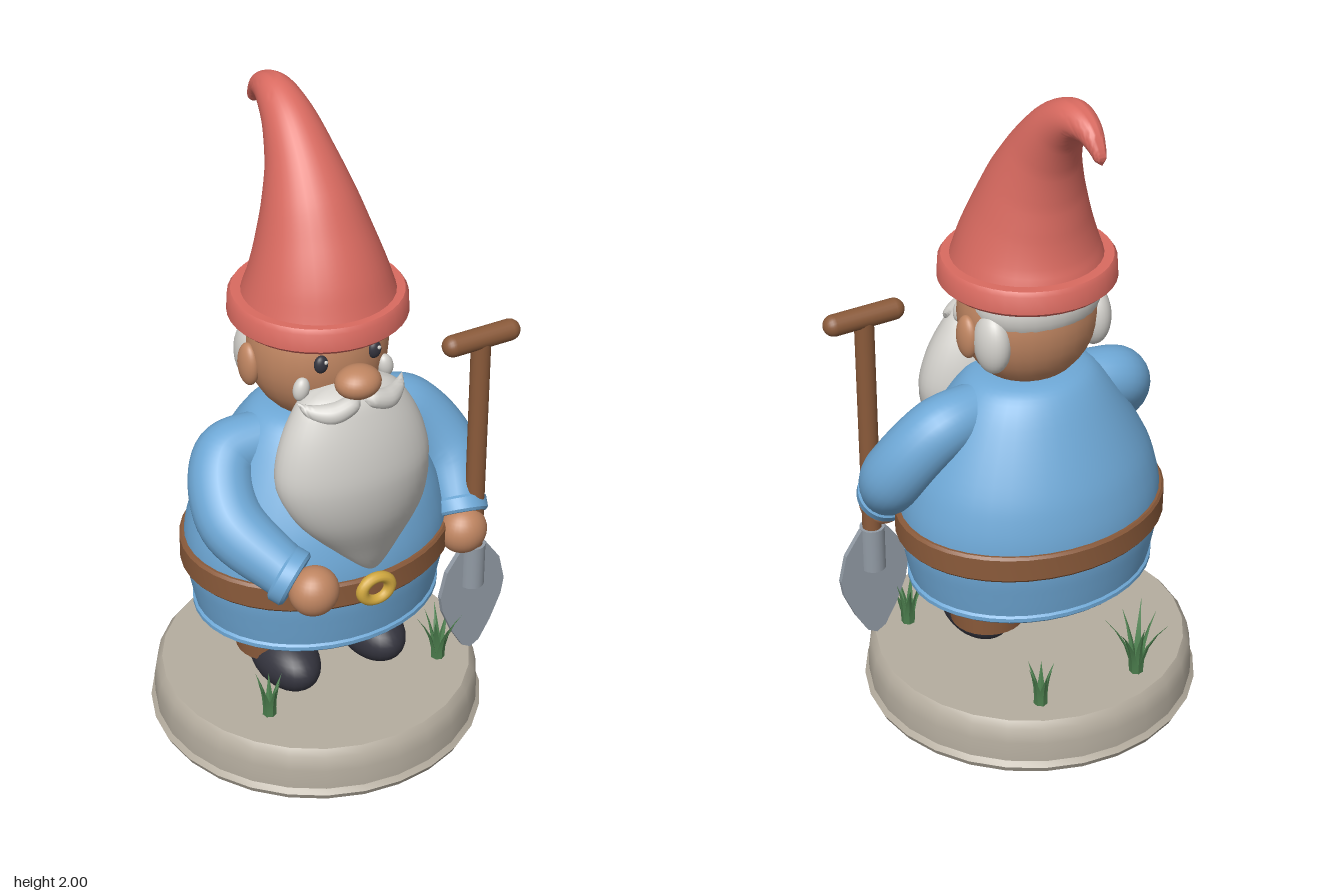
import * as THREE from 'three';
import { toCreasedNormals } from 'three/addons/utils/BufferGeometryUtils.js';

const mat = (name, color, extra = {}) => {
  const m = new THREE.MeshStandardMaterial({ color, ...extra });
  m.name = name;
  return m;
};
const M = {
  stone: mat('stone', 0xb5ad9f),
  brown: mat('brown leather and wood', 0x8a5a3a),
  dark: mat('dark boots and eyes', 0x34343e),
  blue: mat('blue coat', 0x6ea8d6),
  red: mat('red hat', 0xd96a60),
  skin: mat('skin', 0xbf8561),
  white: mat('white hair', 0xd2d0cb),
  gold: mat('gold', 0xd1a83f),
  steel: mat('steel', 0x929ba5),
  green: mat('grass green', 0x4c7f4e),
};
const V = (x, y, z) => new THREE.Vector3(x, y, z);

export function createModel() {
  const root = new THREE.Group();
  root.name = 'gardenGnome';
  root.position.x = -0.02;

  const add = (name, geo, material, pos = [0, 0, 0], rot = [0, 0, 0], parent = root) => {
    const m = new THREE.Mesh(geo, material);
    m.name = name;
    m.position.set(...pos);
    m.rotation.set(...rot);
    parent.add(m);
    return m;
  };
  const ball = (name, material, pos, radii, rot) =>
    add(name, new THREE.SphereGeometry(1, 28, 18).scale(...radii), material, pos, rot);

  // Turned shape from [radius, height] pairs, optionally smoothed and flattened in z
  const lathe = (pts, { seg = 40, smooth = 0, sz = 1, crease = 0.6 } = {}) => {
    let p = pts.map(([r, y]) => new THREE.Vector2(r, y));
    if (smooth) p = new THREE.SplineCurve(p).getPoints(smooth).map((q) => q.setX(Math.max(0, q.x)));
    return toCreasedNormals(new THREE.LatheGeometry(p, seg).scale(1, 1, sz), crease);
  };

  // Tube whose radius changes along its path; each point is [x, y, z, radius]
  const taper = (pts, rings = 32, sides = 24) => {
    const path = new THREE.CatmullRomCurve3(pts.map(([x, y, z]) => V(x, y, z)));
    const size = new THREE.CatmullRomCurve3(pts.map((p) => V(p[3], 0, 0)));
    path.getPointAt = (t, o) => path.getPoint(t, o);
    path.getTangentAt = (t, o) => path.getTangent(t, o);
    const geo = new THREE.TubeGeometry(path, rings, 1, sides);
    const pos = geo.attributes.position, v = V(0, 0, 0);
    for (let i = 0; i <= rings; i++) {
      const c = path.getPoint(i / rings), r = Math.max(0, size.getPoint(i / rings).x);
      for (let j = 0; j <= sides; j++) {
        const k = i * (sides + 1) + j;
        v.fromBufferAttribute(pos, k).sub(c).multiplyScalar(r).add(c);
        pos.setXYZ(k, v.x, v.y, v.z);
      }
    }
    return toCreasedNormals(geo, 1.2);
  };

  // Stone base
  add('base', lathe([[0, 0], [0.5, 0], [0.51, 0.02], [0.497, 0.035], [0.497, 0.1], [0.488, 0.145],
    [0.472, 0.165], [0, 0.165]], { seg: 28 }), M.stone);

  // Legs and boots
  for (const s of [1, -1]) {
    add('leg', new THREE.CylinderGeometry(0.122, 0.113, 0.2, 28), M.brown, [s * 0.148, 0.365, 0]);
    ball('boot', M.dark, [s * 0.148, 0.25, 0.075], [0.093, 0.086, 0.147]);
  }

  // Coat, hem and belt, all oval in plan
  const sz = 0.84;
  add('coat', lathe([[0.372, 0.425], [0.388, 0.5], [0.402, 0.58], [0.402, 0.67], [0.386, 0.75],
    [0.356, 0.83], [0.29, 0.95], [0.226, 1.045], [0.17, 1.088], [0.08, 1.1], [0, 1.1]],
  { smooth: 40, sz }), M.blue);
  add('hem', lathe([[0, 0.44], [0.33, 0.44], [0.34, 0.41], [0.37, 0.41], [0.382, 0.42], [0.382, 0.432],
    [0.37, 0.442]], { sz }), M.blue);
  add('belt', lathe([[0.39, 0.58], [0.41, 0.58], [0.417, 0.588], [0.417, 0.657], [0.41, 0.665],
    [0.39, 0.665]], { sz }), M.brown);
  add('buckle', new THREE.TorusGeometry(0.046, 0.019, 12, 32).scale(1, 0.82, 1), M.gold, [0, 0.624, 0.353]);

  // Arms with cuffs and hands
  const arms = [
    { side: 'right', hand: [-0.205, 0.69, 0.355],
      path: [[-0.16, 1.0, 0, 0.08], [-0.29, 0.965, -0.005, 0.095], [-0.342, 0.84, 0.11, 0.098], [-0.25, 0.72, 0.3, 0.075]] },
    { side: 'left', hand: [0.375, 0.625, 0.225],
      path: [[0.16, 1.0, 0, 0.08], [0.3, 0.962, 0.005, 0.095], [0.405, 0.81, 0.075, 0.098], [0.385, 0.675, 0.185, 0.075]] },
  ];
  for (const { side, hand, path } of arms) {
    add(side + 'Sleeve', taper(path), M.blue);
    const end = V(...path[3].slice(0, 3));
    const dir = V(...hand).sub(end).normalize();
    const cuff = new THREE.Group();
    cuff.name = side + 'Cuff';
    cuff.position.copy(end);
    cuff.quaternion.setFromUnitVectors(V(0, 1, 0), dir);
    root.add(cuff);
    add('cuffBand', lathe([[0, -0.03], [0.078, -0.03], [0.086, -0.022], [0.086, 0.012], [0.078, 0.02], [0, 0.02]]),
      M.blue, [0, 0, 0], [0, 0, 0], cuff);
    ball(side + 'Hand', M.skin, hand, [0.074, 0.074, 0.068]);
  }

  // Head, ears, nose and hair
  ball('head', M.skin, [0, 1.28, 0.01], [0.21, 0.23, 0.19]);
  ball('nose', M.skin, [0, 1.257, 0.24], [0.068, 0.047, 0.06]);
  ball('backHair', M.white, [0, 1.34, -0.035], [0.197, 0.125, 0.152]);
  for (const s of [1, -1]) {
    ball('ear', M.skin, [s * 0.21, 1.247, -0.008], [0.028, 0.066, 0.043]);
    ball('hairTuft', M.white, [s * 0.165, 1.245, -0.07], [0.05, 0.095, 0.066]);
    ball('sideburn', M.white, [s * 0.135, 1.23, 0.16], [0.024, 0.036, 0.022], [0, 0, s * 0.2]);
    ball('eye', M.dark, [s * 0.085, 1.307, 0.183], [0.021, 0.027, 0.016]);
    ball('eyeGlint', M.white, [s * 0.085 + 0.008, 1.317, 0.197], [0.006, 0.006, 0.004]);
    ball('eyebrow', M.white, [s * 0.085, 1.358, 0.182], [0.05, 0.012, 0.018], [0, s * 0.35, s * 0.15]);
    add('moustache', taper([[0, 1.212, 0.255, 0], [s * 0.03, 1.205, 0.262, 0.026], [s * 0.085, 1.185, 0.252, 0.032],
      [s * 0.14, 1.192, 0.222, 0.02], [s * 0.17, 1.215, 0.195, 0]], 24, 16), M.white);
  }

  // Beard: flattened turned shape that leans forward towards its tip
  const beard = lathe([[0, 0.67], [0.045, 0.7], [0.105, 0.755], [0.198, 0.85], [0.24, 0.95], [0.23, 1.05],
    [0.187, 1.15], [0.13, 1.215], [0, 1.25]], { smooth: 36, sz: 0.54, crease: 1 });
  const bp = beard.attributes.position;
  for (let i = 0; i < bp.count; i++) {
    const d = bp.getY(i) - 0.95;
    bp.setZ(i, bp.getZ(i) + 0.215 - d * (d < 0 ? 0.41 : 0.1));
  }
  add('beard', beard, M.white);

  // Hat: rolled brim and a cone that curls over backwards
  add('hatBrim', lathe([[0, 1.372], [0.243, 1.372], [0.257, 1.385], [0.254, 1.437], [0.245, 1.45], [0.2, 1.45]]),
    M.red, [0, 0, 0.015]);
  add('hatCone', taper([[0, 1.4, 0.018, 0.235], [0, 1.5, 0.012, 0.202], [0, 1.6, -0.006, 0.168], [0, 1.7, -0.034, 0.136],
    [0, 1.81, -0.085, 0.1], [0, 1.9, -0.155, 0.074], [0, 1.943, -0.228, 0.056], [0, 1.938, -0.295, 0.038],
    [0, 1.905, -0.337, 0.024], [0, 1.88, -0.354, 0.016], [0, 1.866, -0.362, 0]], 60, 36), M.red);

  // Garden spade held in the left hand
  const spade = new THREE.Group();
  spade.name = 'spade';
  spade.position.set(0.42, 0, 0.215);
  root.add(spade);
  const part = (name, geo, material, pos, rot) => add(name, geo, material, pos, rot, spade);
  part('spadeShaft', new THREE.CylinderGeometry(0.029, 0.029, 0.75, 20), M.brown, [0, 0.88, 0]);
  part('spadeGrip', new THREE.CapsuleGeometry(0.032, 0.19, 8, 20), M.brown, [0, 1.263, 0], [0, 0, Math.PI / 2]);
  part('spadeSocket', new THREE.CylinderGeometry(0.038, 0.038, 0.145, 20), M.steel, [0, 0.48, 0]);
  const half = [[0.03, 0.185], [0.068, 0.25], [0.104, 0.335], [0.113, 0.39], [0.093, 0.475], [0.04, 0.55]];
  const outline = [[0, 0.168], ...half, ...half.map(([x, y]) => [-x, y]).reverse()];
  part('spadeBlade', new THREE.ExtrudeGeometry(new THREE.Shape(outline.map(([x, y]) => new THREE.Vector2(x, y))),
    { depth: 0.016, bevelEnabled: false }), M.steel, [0, 0, -0.008]);

  // Grass tufts: bent, flattened, pointed blades
  const tufts = [[-0.27, 0.2], [0.31, 0.21], [-0.155, -0.36], [0.17, -0.345]];
  tufts.forEach(([x, z], t) => {
    const tuft = new THREE.Group();
    tuft.name = 'grassTuft';
    tuft.position.set(x, 0.16, z);
    root.add(tuft);
    for (let i = 0; i < 7; i++) {
      const h = 0.13 + 0.035 * ((i * 3 + t) % 3);
      const g = new THREE.ConeGeometry(0.018, h, 4, 4).scale(1, 1, 0.5).translate(0, h / 2, 0);
      const p = g.attributes.position;
      for (let k = 0; k < p.count; k++) p.setZ(k, p.getZ(k) + 0.012 + 2.2 * p.getY(k) ** 2 * (i % 2 ? 0.6 : 1));
      add('grassBlade', toCreasedNormals(g, 0.5), M.green, [0, 0, 0], [0, (i / 7) * Math.PI * 2 + t, 0], tuft);
    }
  });

  return root;
}
